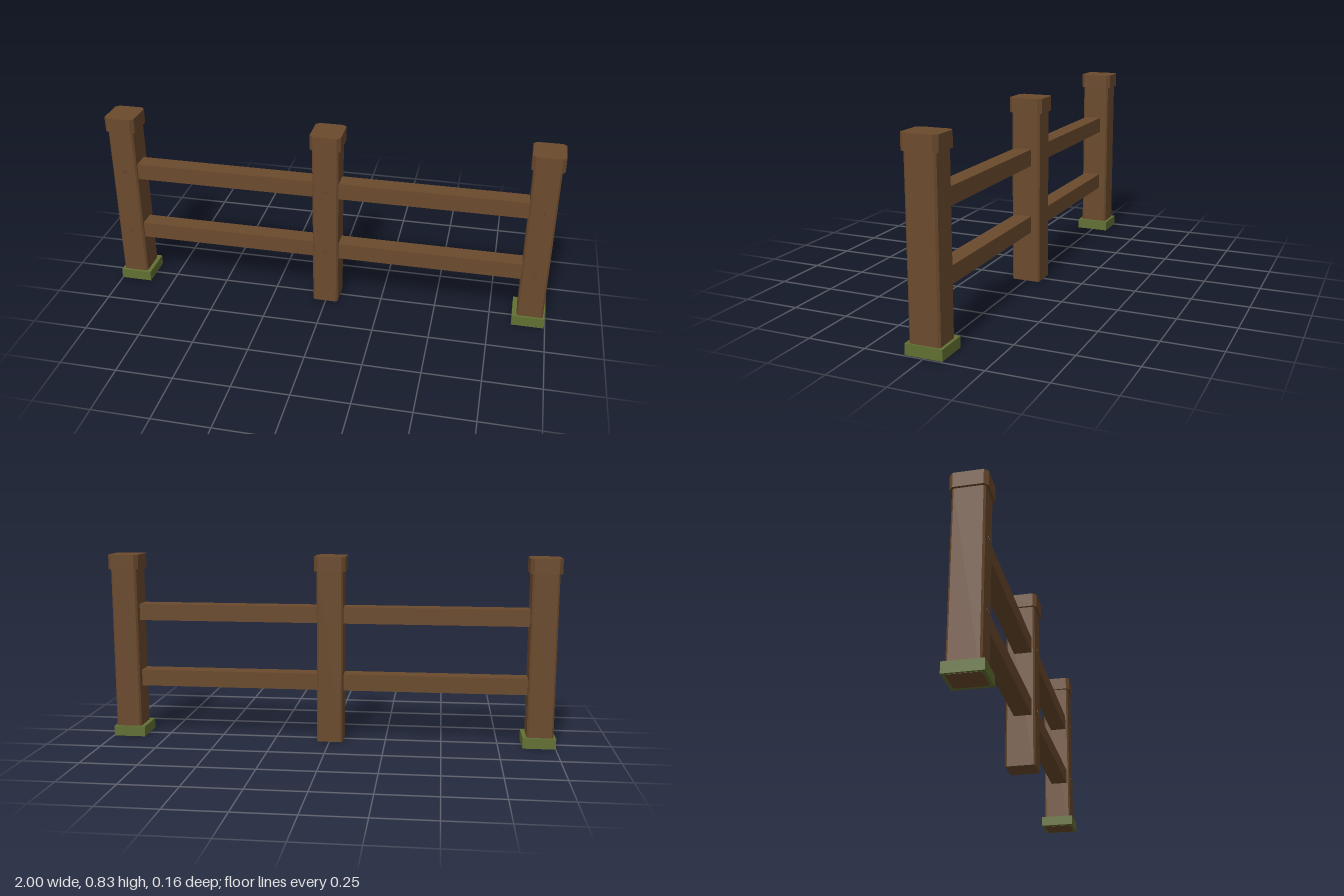
import * as THREE from 'three';

const wood = new THREE.MeshStandardMaterial({ color: 0x6b4a2d });
wood.name = 'brown wood';
const moss = new THREE.MeshStandardMaterial({ color: 0x627033 });
moss.name = 'moss green';
const iron = new THREE.MeshStandardMaterial({ color: 0x4a4038, side: THREE.DoubleSide });
iron.name = 'dark iron';

// Upright bar with chamfered vertical corners, standing on y = 0
function chamferedBar(width, height, depth, c) {
  const x = width / 2, z = depth / 2;
  const outline = [
    [-x + c, -z], [x - c, -z], [x, -z + c], [x, z - c],
    [x - c, z], [-x + c, z], [-x, z - c], [-x, -z + c],
  ].map(([px, pz]) => new THREE.Vector2(px, pz));
  const geometry = new THREE.ExtrudeGeometry(new THREE.Shape(outline), { depth: height, bevelEnabled: false });
  return geometry.rotateX(-Math.PI / 2);
}

export function createModel() {
  const fence = new THREE.Group();
  fence.name = 'fence';

  function add(parent, name, geometry, material, x, y, z) {
    const mesh = new THREE.Mesh(geometry, material);
    mesh.name = name;
    mesh.position.set(x, y, z);
    parent.add(mesh);
  }

  const postGeometry = chamferedBar(0.116, 0.77, 0.131, 0.008);
  const capGeometry = chamferedBar(0.137, 0.065, 0.152, 0.016);
  const mossGeometry = new THREE.BoxGeometry(0.144, 0.046, 0.157);
  const pegGeometry = new THREE.CylinderGeometry(0.0085, 0.0085, 0.01, 8, 1, true).rotateX(Math.PI / 2);
  const railHeights = [0.266, 0.57];

  // Posts with caps and pegs; moss collars on the two end posts
  [-0.932, -0.002, 0.929].forEach((x, i) => {
    const post = new THREE.Group();
    post.name = ['rightPost', 'middlePost', 'leftPost'][i];
    post.position.x = x;
    add(post, 'shaft', postGeometry, wood, 0, 0, 0.001);
    add(post, 'cap', capGeometry, wood, 0, 0.768, 0.001);
    for (const y of railHeights) add(post, 'peg', pegGeometry, iron, 0, y, 0.065);
    if (i !== 1) add(post, 'mossCollar', mossGeometry, moss, i === 0 ? 0.004 : -0.006, 0.024, 0.001);
    fence.add(post);
  });

  // Rails running through the posts
  const railGeometry = new THREE.BoxGeometry(1.84, 0.074, 0.079);
  for (const y of railHeights) add(fence, 'rail', railGeometry, wood, 0, y + 0.001, 0.013);

  return fence;
}
